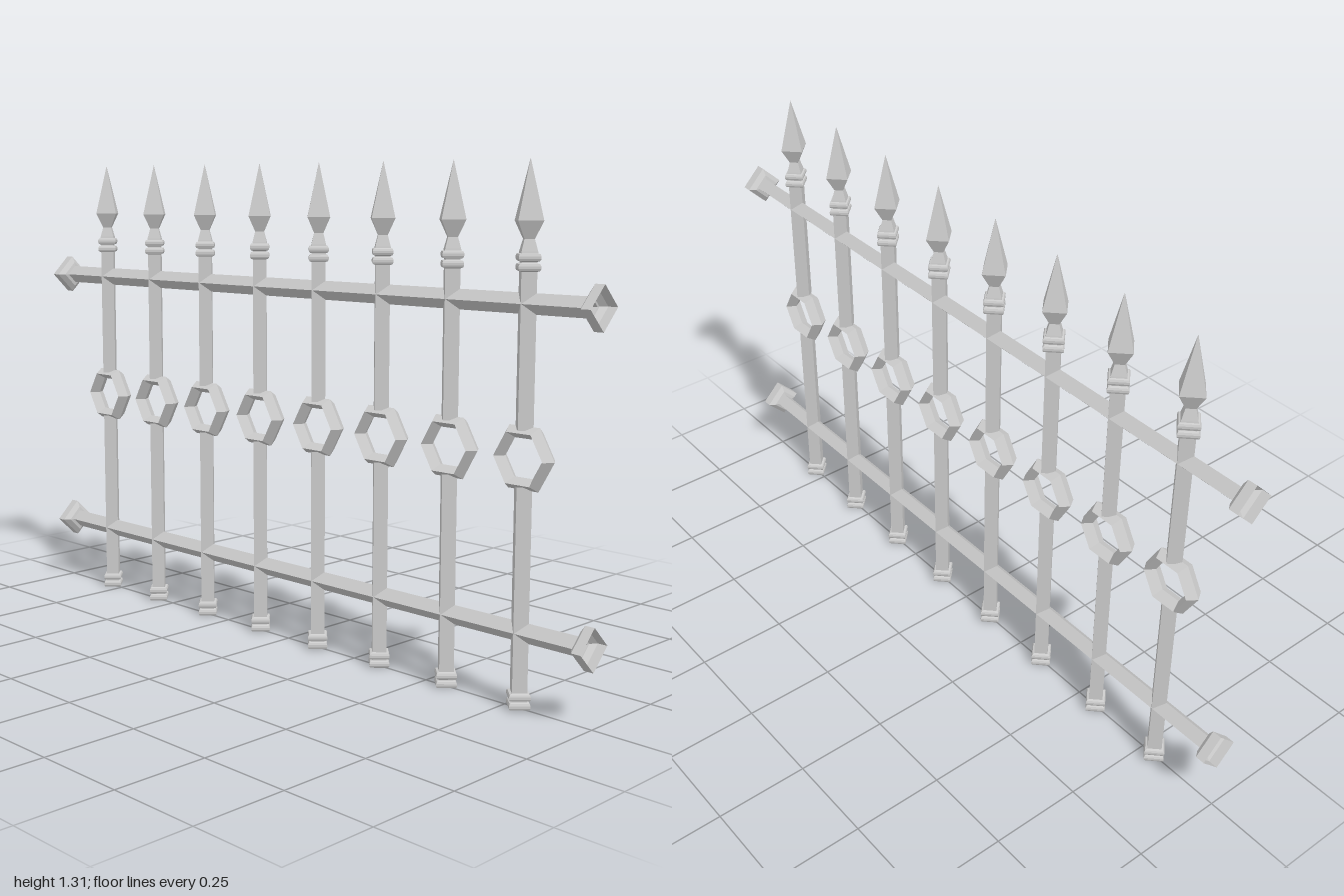
import * as THREE from 'three';

const material = new THREE.MeshStandardMaterial({ color: 0xcccccc, flatShading: true, side: THREE.DoubleSide });

// Four-sided turned part with its edges on the axes; profile is [radius, height] from the bottom up
function turned(profile) {
  return new THREE.LatheGeometry(profile.map(([r, y]) => new THREE.Vector2(r, y)), 4);
}

function add(parent, name, geometry, x = 0, y = 0, z = 0) {
  const mesh = new THREE.Mesh(geometry, material);
  mesh.name = name;
  mesh.position.set(x, y, z);
  parent.add(mesh);
  return mesh;
}

export function createModel() {
  const fence = new THREE.Group();
  fence.name = 'fence';
  const BAR = 0.026, RING_Y = 0.612;

  // Shared picket parts
  const lowerBar = turned([[0, 0], [BAR, 0], [BAR, 0.545]]);
  const upperBar = turned([[BAR, 0.68], [BAR, 1.095]]);
  const collar = turned([[BAR, -0.01], [0.034, -0.008], [0.037, -0.003], [0.037, 0.003], [0.034, 0.008], [BAR, 0.01]]);
  const spear = turned([[0.03, 1.085], [0.027, 1.097], [0.017, 1.125], [0.042, 1.167], [0, 1.31]]);
  const hexRing = new THREE.TorusGeometry(0.071, 0.017, 4, 6);
  hexRing.scale(1, 1, 0.025 / 0.017);
  hexRing.rotateY(Math.PI / 2);

  // Row of eight pickets along z
  for (let i = 0; i < 8; i++) {
    const picket = new THREE.Group();
    picket.name = 'picket';
    picket.position.z = 0.79 - (i * 1.58) / 7;
    add(picket, 'lowerBar', lowerBar);
    add(picket, 'upperBar', upperBar);
    add(picket, 'hexagonRing', hexRing, 0, RING_Y);
    for (const y of [0.01, 0.032, 1.06, 1.083]) add(picket, 'collar', collar, 0, y);
    add(picket, 'spearhead', spear);
    fence.add(picket);
  }

  // Two horizontal rails with a flared, open flange at each end
  const railGeometry = turned([[0.025, -0.965], [0.025, 0.965]]);
  railGeometry.rotateX(Math.PI / 2);
  const flangeGeometry = turned([[0.025, 0.96], [0.037, 0.962], [0.054, 0.974], [0.054, 1]]);
  flangeGeometry.rotateX(Math.PI / 2);
  for (const y of [0.19, 0.976]) {
    add(fence, 'rail', railGeometry, 0, y);
    for (const turn of [0, Math.PI]) add(fence, 'railFlange', flangeGeometry, 0, y).rotation.y = turn;
  }
  return fence;
}
